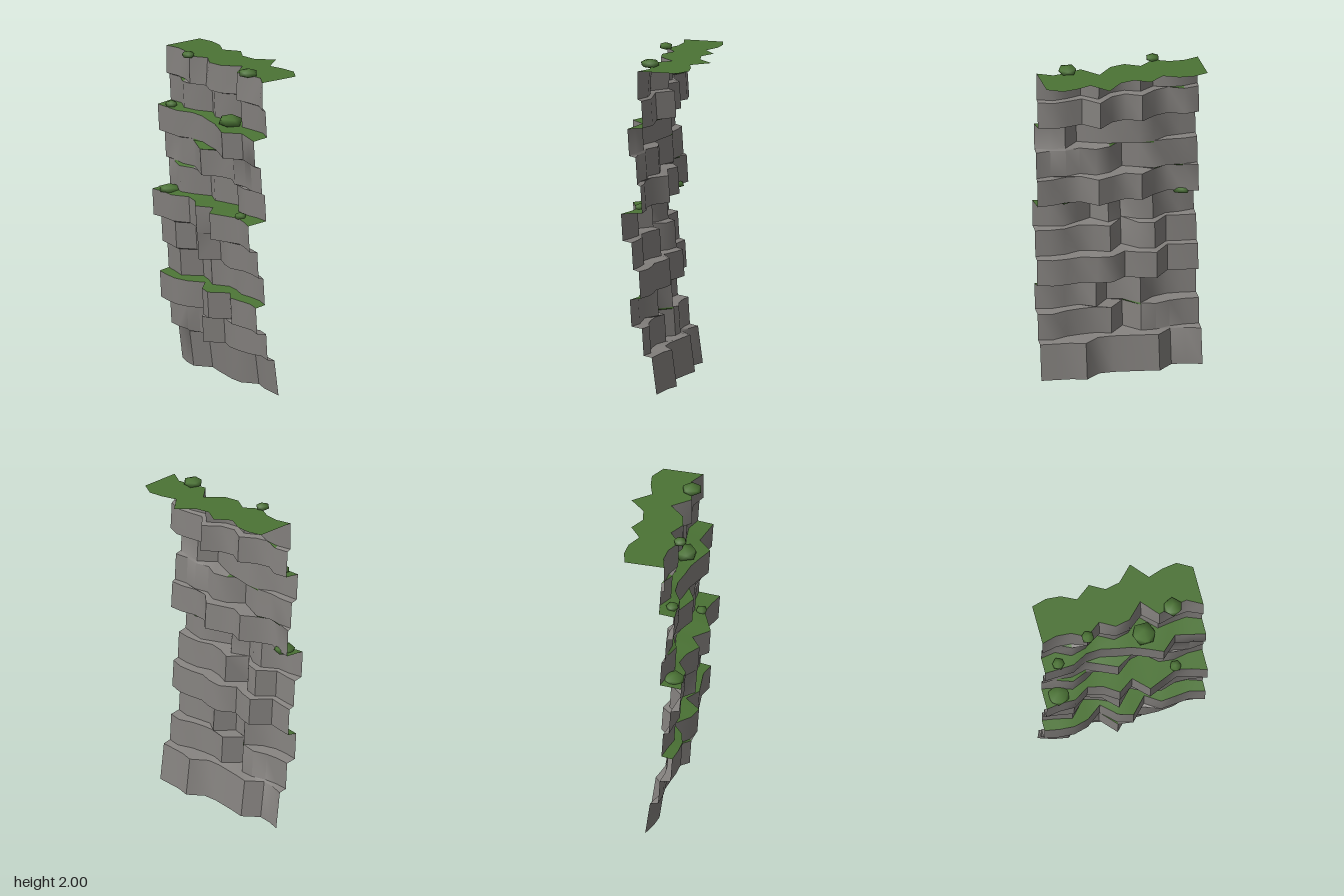
import * as THREE from 'three';
import { mergeVertices, toCreasedNormals } from 'three/addons/utils/BufferGeometryUtils.js';

// Depth (z) of each rock course's top edge at the twelve columns, bottom course first
const COURSES = [
  [0.02, 0.05, 0.065, -0.01, 0.01, 0.025, 0.04, 0.04, -0.028, 0.0, 0.01, 0.02],
  [0.08, 0.09, 0.085, 0.06, 0.065, 0.165, 0.07, 0.1, 0.1, 0.09, 0.06, 0.08],
  [0.155, 0.17, 0.175, 0.15, 0.08, 0.165, 0.19, 0.09, 0.15, 0.14, 0.13, 0.155],
  [0.1, 0.115, 0.135, 0.035, 0.06, 0.1, 0.04, 0.05, 0.08, 0.07, 0.07, 0.1],
  [0.145, 0.155, 0.17, 0.085, 0.11, 0.2, 0.1, 0.14, 0.16, 0.13, 0.13, 0.145],
  [0.21, 0.195, 0.195, 0.135, 0.155, 0.215, 0.15, 0.24, 0.2, 0.16, 0.18, 0.21],
  [0.09, 0.11, 0.14, 0.1, 0.04, 0.08, 0.05, 0.02, 0.1, 0.11, 0.09, 0.09],
  [0.12, 0.115, 0.125, 0.1, 0.14, 0.18, 0.105, 0.085, 0.13, 0.11, 0.13, 0.12],
  [0.17, 0.165, 0.16, 0.11, 0.105, 0.125, 0.14, 0.175, 0.215, 0.13, 0.15, 0.17],
  [0.085, 0.07, 0.115, 0.09, 0.03, 0.08, 0.06, -0.018, 0.075, 0.06, 0.05, 0.085],
  [0.108, 0.082, 0.088, 0.132, 0.062, 0.112, 0.092, -0.002, 0.103, 0.072, 0.058, 0.108],
];
const COLUMNS = 12;
const TOP = 1.957;
const PLATEAU_DEPTH = 0.243;

const columnX = (i) => -0.495 + i * 0.09;
const courseY = (r) => (r === 0 ? 0 : 0.232 + (r - 1) * 0.1727);

// Two triangles between a lower and an upper edge, facing forward / up
function addQuad(list, a, b, c, d) {
  for (const p of [a, b, c, a, c, d]) list.push(p[0], p[1], p[2]);
}

function sheet(points, material, name) {
  const geometry = new THREE.BufferGeometry();
  geometry.setAttribute('position', new THREE.Float32BufferAttribute(points, 3));
  const mesh = new THREE.Mesh(toCreasedNormals(geometry, 0.75), material);
  mesh.name = name;
  return mesh;
}

// Every column of a course as a list of corner points
function edge(y, depths) {
  return depths.map((z, i) => [columnX(i), y, z]);
}

// Smooth lump with few sides
function makeBushGeometry() {
  const geometry = new THREE.IcosahedronGeometry(1, 0).rotateZ(0.45);
  geometry.deleteAttribute('normal');
  geometry.deleteAttribute('uv');
  const merged = mergeVertices(geometry);
  merged.computeVertexNormals();
  return merged;
}

export function createModel() {
  const group = new THREE.Group();
  group.name = 'cliff';
  const rock = new THREE.MeshStandardMaterial({ color: 0x84817e, side: THREE.DoubleSide });
  const grass = new THREE.MeshStandardMaterial({ color: 0x4b7335, side: THREE.DoubleSide });
  const leaves = new THREE.MeshStandardMaterial({ color: 0x4b7335 });

  const rockPoints = [];
  const grassPoints = [];
  let previousTop = null;

  COURSES.forEach((depths, r) => {
    const last = r === COURSES.length - 1;
    // the foot of the cliff leans back, the crown evens out downwards
    const lean = r === 0 ? 0.03 : 0.01;
    const foot = depths.map((z) => (last ? 0.11 + (z - 0.11) * 0.78 : z - lean));
    const bottom = edge(courseY(r), foot);
    const top = edge(last ? TOP : courseY(r + 1) - 0.01, depths);
    for (let i = 0; i < COLUMNS - 1; i++) {
      // rock face
      addQuad(rockPoints, bottom[i], bottom[i + 1], top[i + 1], top[i]);
      // step to the course below: grass on ledges, bare rock on overhangs
      if (previousTop) {
        const a = previousTop[i], b = previousTop[i + 1];
        const ledge = a[2] + b[2] > bottom[i][2] + bottom[i + 1][2];
        addQuad(ledge ? grassPoints : rockPoints, a, b, bottom[i + 1], bottom[i]);
      }
    }
    previousTop = top;
  });

  // grassy plateau behind the top edge
  const plateauPoints = [];
  const back = previousTop.map(([x, y, z]) => [x, y, z - PLATEAU_DEPTH]);
  for (let i = 0; i < COLUMNS - 1; i++) {
    addQuad(plateauPoints, previousTop[i], previousTop[i + 1], back[i + 1], back[i]);
  }

  group.add(
    sheet(rockPoints, rock, 'rockFace'),
    sheet(grassPoints, grass, 'grassLedges'),
    sheet(plateauPoints, grass, 'plateau'),
  );

  // low bushes: x, y, z, radius, half height
  const bushes = [
    [-0.225, 1.968, 0.14, 0.042, 0.024],
    [0.312, 1.971, 0.083, 0.062, 0.029],
    [0.135, 1.632, 0.085, 0.077, 0.043],
    [-0.405, 1.617, 0.135, 0.04, 0.024],
    [-0.405, 1.096, 0.145, 0.07, 0.03],
    [0.315, 1.094, 0.14, 0.038, 0.025],
  ];
  const bushGeometry = makeBushGeometry();
  bushes.forEach(([x, y, z, radius, height], i) => {
    const bush = new THREE.Mesh(bushGeometry, leaves);
    bush.name = 'bush' + (i + 1);
    bush.position.set(x, y, z);
    bush.scale.set(radius, height, radius);
    bush.rotation.y = i * 0.8;
    group.add(bush);
  });

  return group;
}
